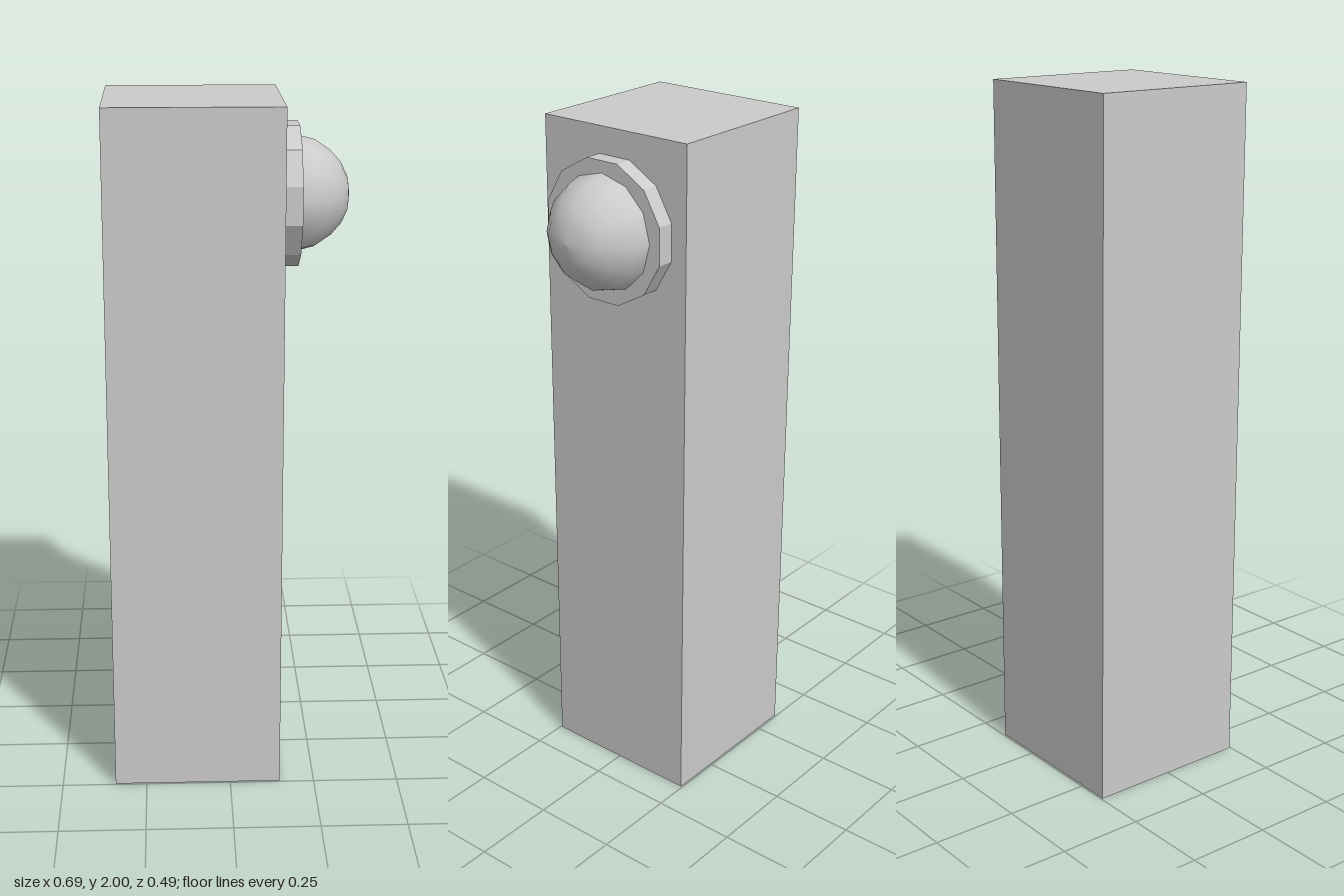
import * as THREE from 'three';

export function createModel() {
  const group = new THREE.Group();
  const flat = new THREE.MeshStandardMaterial({ color: 0xcccccc, flatShading: true });
  const smooth = new THREE.MeshStandardMaterial({ color: 0xcccccc });
  const knobY = 1.728;

  function add(name, geometry, material, x, y) {
    const mesh = new THREE.Mesh(geometry, material);
    mesh.name = name;
    mesh.position.set(x, y, 0);
    group.add(mesh);
  }

  // Square post
  add('post', new THREE.BoxGeometry(0.491, 2, 0.491), flat, -0.0975, 1);

  // Twelve-sided mounting plate, flat sides up and down
  const plate = new THREE.CylinderGeometry(0.203, 0.203, 0.05, 12);
  plate.rotateY(Math.PI / 12).rotateZ(-Math.PI / 2);
  add('mountingPlate', plate, flat, 0.173, knobY);

  // Rounded button, turned about the x axis
  const profile = [
    [0.164, 0.178], [0.163, 0.198], [0.151, 0.243], [0.122, 0.286],
    [0.087, 0.317], [0.05, 0.335], [0, 0.342],
  ].map(([r, h]) => new THREE.Vector2(r, h));
  const dome = new THREE.LatheGeometry(profile, 12);
  dome.rotateZ(-Math.PI / 2);
  add('domeButton', dome, smooth, 0, knobY);

  return group;
}
